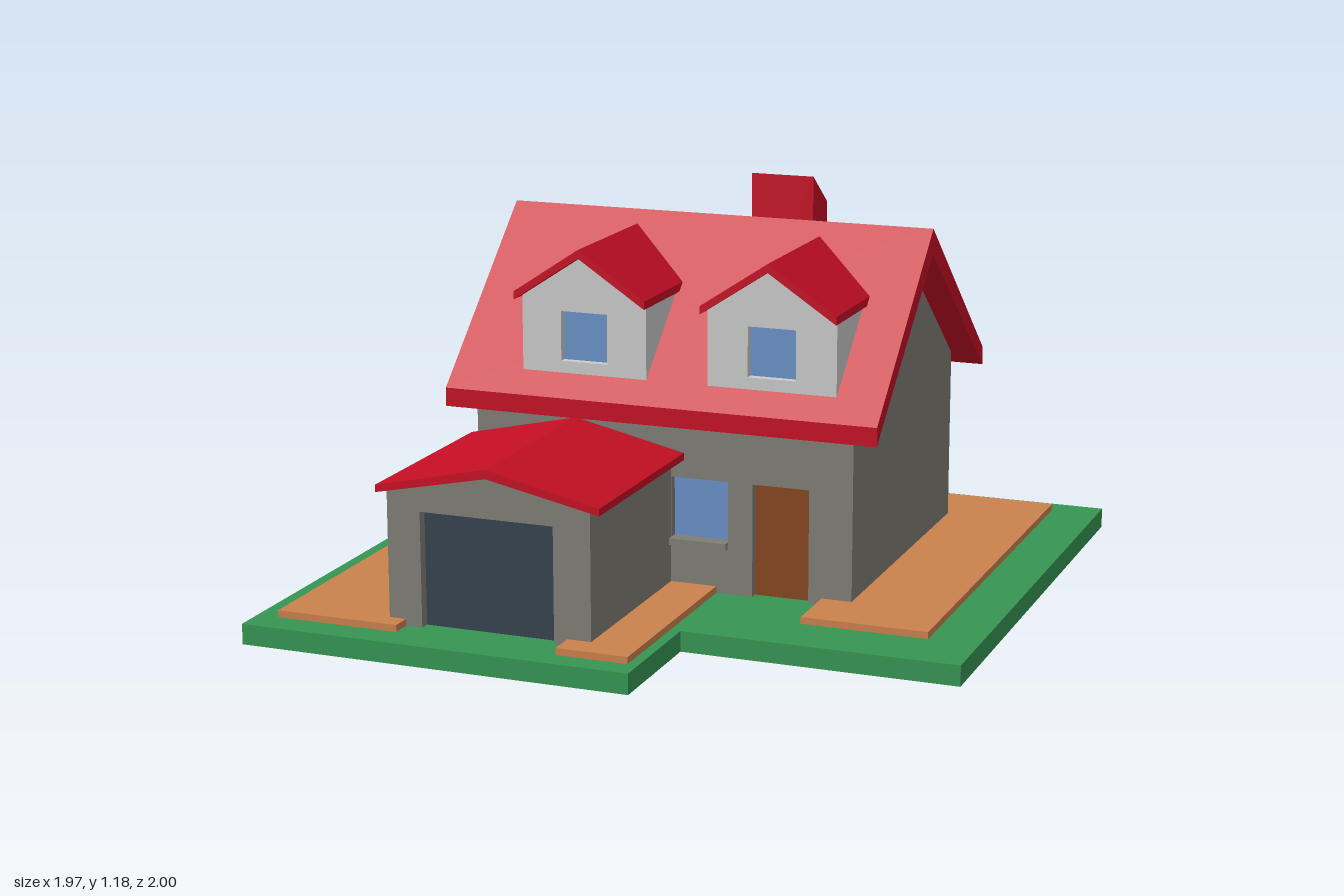
import * as THREE from 'three';

const mat = (name, color) => {
  const m = new THREE.MeshStandardMaterial({ color });
  m.name = name;
  return m;
};

export function createModel() {
  const house = new THREE.Group();
  house.name = 'house';
  const grass = mat('grass green', 0x369653);
  const paving = mat('paving orange', 0xcb814e);
  const stone = mat('wall grey', 0x7f7e76);
  const red = mat('roof red', 0xc60e24);
  const white = mat('dormer white', 0xcbcbcb);
  const glass = mat('window blue', 0x6992c8);
  const wood = mat('door brown', 0x87461f);
  const slate = mat('garage door slate', 0x36434f);

  const add = (name, geo, material) => {
    const mesh = new THREE.Mesh(geo, material);
    mesh.name = name;
    house.add(mesh);
    return mesh;
  };

  // Box given by its limits on each axis
  const box = (name, material, x0, x1, y0, y1, z0, z1) => {
    const g = new THREE.BoxGeometry(x1 - x0, y1 - y0, z1 - z0);
    g.translate((x0 + x1) / 2, (y0 + y1) / 2, (z0 + z1) / 2);
    return add(name, g, material);
  };

  // Flat outline with rectangular holes [u0, u1, v0, v1], given a thickness
  const extrude = (points, depth, holes = []) => {
    const shape = new THREE.Shape(points.map(p => new THREE.Vector2(p[0], p[1])));
    for (const [a, b, c, d] of holes) {
      shape.holes.push(new THREE.Path([[a, c], [a, d], [b, d], [b, c]].map(p => new THREE.Vector2(p[0], p[1]))));
    }
    return new THREE.ExtrudeGeometry(shape, { depth, bevelEnabled: false });
  };
  // Outline in x/y running from z0 to z1
  const alongZ = (name, material, points, z0, z1, holes) =>
    add(name, extrude(points, z1 - z0, holes).translate(0, 0, z0), material);
  // Outline in z/y running from x0 to x1
  const alongX = (name, material, points, x0, x1, holes) =>
    add(name, extrude(points, x1 - x0, holes).rotateY(-Math.PI / 2).translate(x1, 0, 0), material);

  // Lawn and paths
  const lawn = [[-0.985, -1], [0.985, -1], [0.985, 0.62], [0.18, 0.62], [0.18, 1], [-0.985, 1]];
  add('lawn', extrude(lawn, 0.06).rotateX(Math.PI / 2).translate(0, 0.06, 0), grass);
  box('rightPath', paving, -0.92, -0.55, 0.06, 0.08, -0.9, 0.91);
  box('leftPath', paving, 0.47, 0.84, 0.06, 0.08, -0.93, 0.44);
  box('garagePath', paving, -0.06, 0.15, 0.06, 0.08, 0.26, 0.93);

  // Main walls with openings
  const T = 0.04, Y0 = 0.21, Y1 = 0.395;
  const sideWindows = [[-0.62, -0.48, Y0, Y1], [-0.35, -0.21, Y0, Y1]];
  const backWindows = [[0.25, 0.42, Y0, Y1], [-0.51, -0.105, Y0, Y1]];
  const frontWindow = [0.012, 0.185, Y0, Y1];
  const gable = [[-0.71, 0.06], [0.26, 0.06], [0.26, 0.62], [-0.2, 1.02], [-0.71, 0.61]];
  alongX('leftWall', stone, gable, 0.56 - T, 0.56);
  alongX('rightWall', stone, gable, -0.6, -0.6 + T, sideWindows);
  const rect = [[-0.56, 0.06], [0.52, 0.06], [0.52, 0.61], [-0.56, 0.61]];
  alongZ('backWall', stone, rect, -0.71, -0.71 + T, backWindows);
  const frontOutline = [[-0.56, 0.06], [0.26, 0.06], [0.26, Y1], [0.43, Y1], [0.43, 0.06],
    [0.52, 0.06], [0.52, 0.61], [-0.56, 0.61]];
  alongZ('frontWall', stone, frontOutline, 0.26 - T, 0.26, [frontWindow]);

  // Recessed panes, sills and front door
  for (const [a, b] of sideWindows) {
    box('sideWindow', glass, -0.575, -0.567, Y0, Y1, a, b);
    box('sideSill', stone, -0.62, -0.57, 0.195, 0.215, a, b);
  }
  for (const [a, b] of backWindows) {
    box('backWindow', glass, a, b, Y0, Y1, -0.685, -0.677);
    box('backSill', stone, a, b, 0.195, 0.215, -0.735, -0.68);
  }
  box('frontWindow', glass, frontWindow[0], frontWindow[1], Y0, Y1, 0.227, 0.235);
  box('frontSill', stone, frontWindow[0], frontWindow[1], 0.195, 0.215, 0.23, 0.28);
  box('frontDoor', wood, 0.26, 0.43, 0.06, Y1, 0.225, 0.235);

  // Main roof
  alongX('mainRoof', red, [[0.315, 0.555], [0.315, 0.61], [-0.2, 1.08], [-0.765, 0.61],
    [-0.765, 0.555], [-0.2, 1.005]], -0.675, 0.645);

  // Chimney with slanted top
  alongX('chimney', red, [[-0.5, 0.75], [-0.37, 0.75], [-0.37, 1.18], [-0.5, 1.085]], 0.025, 0.22);

  // Garage
  alongZ('garageFront', stone, [[-0.6, 0.06], [-0.5, 0.06], [-0.5, Y1], [-0.1, Y1], [-0.1, 0.06],
    [0.01, 0.06], [0.01, 0.455], [-0.285, 0.52], [-0.6, 0.455]], 0.81, 0.85);
  box('garageRightWall', stone, -0.6, -0.56, 0.06, 0.455, 0.26, 0.81);
  box('garageLeftWall', stone, -0.03, 0.01, 0.06, 0.455, 0.26, 0.81);
  box('garageDoor', slate, -0.5, -0.1, 0.06, Y1, 0.812, 0.82);
  alongZ('garageRoof', red, [[-0.62, 0.447], [-0.285, 0.517], [0.05, 0.447], [0.05, 0.468],
    [-0.285, 0.543], [-0.62, 0.468]], 0.26, 0.88);

  // Dormers
  for (const c of [-0.262, 0.312]) {
    const wall = [[c - 0.193, 0.67], [c + 0.193, 0.67], [c + 0.193, 0.893], [c, 1.02], [c - 0.193, 0.893]];
    const pane = [c - 0.072, c + 0.072, 0.705, 0.852];
    alongZ('dormerFront', white, wall, 0.22, 0.25, [pane]);
    alongZ('dormerBody', white, wall, -0.1, 0.22);
    box('dormerWindow', glass, ...pane, 0.218, 0.226);
    alongZ('dormerRoof', red, [[c - 0.203, 0.884], [c, 1.018], [c + 0.203, 0.884], [c + 0.203, 0.908],
      [c, 1.043], [c - 0.203, 0.908]], -0.18, 0.29);
  }

  return house;
}
